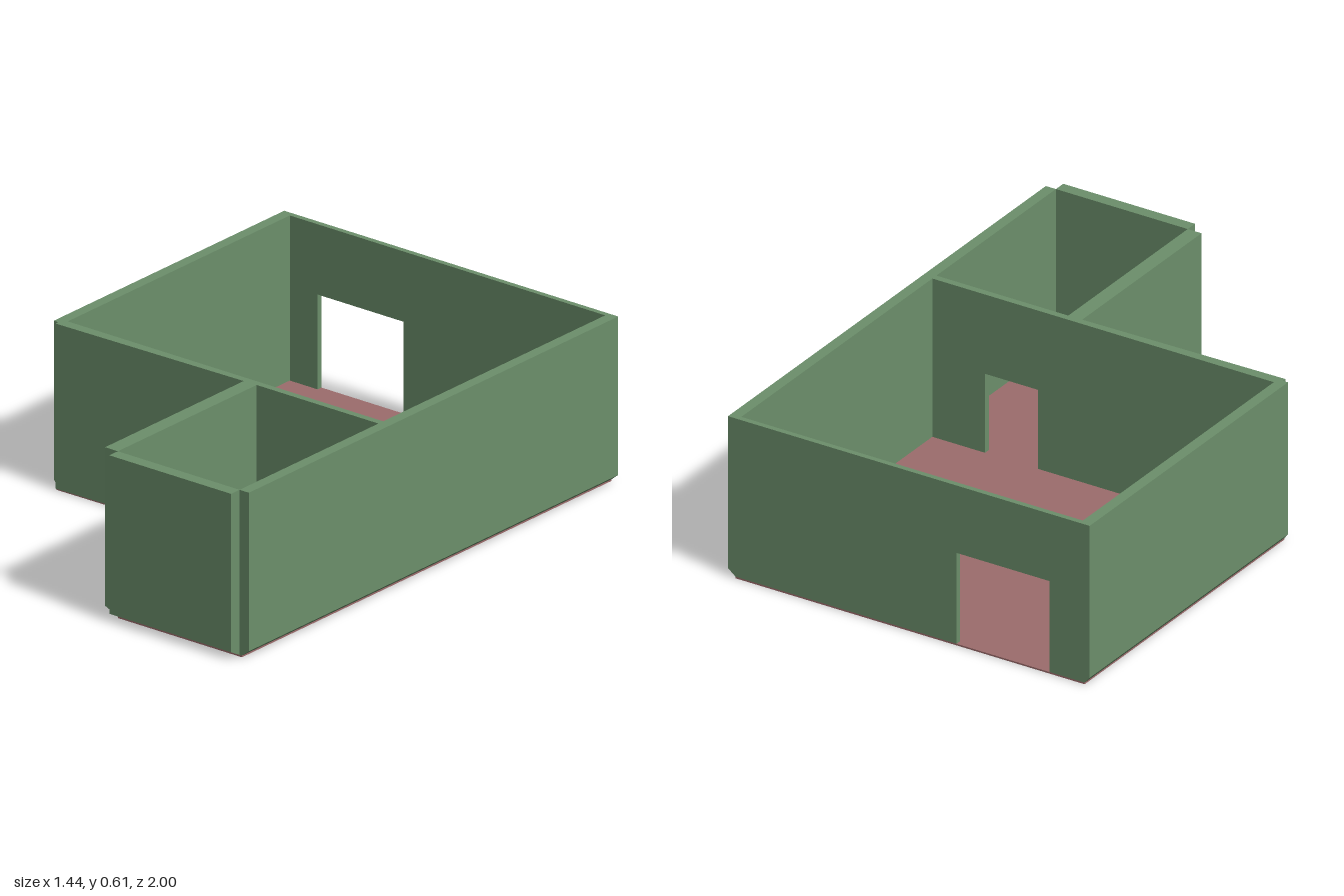
import * as THREE from 'three';

const H = 0.605; // wall height
const F = 0.006; // floor thickness
const green = new THREE.MeshStandardMaterial({ color: 0x6c8f6b });
const red = new THREE.MeshStandardMaterial({ color: 0x9c6c6c });

const extrude = (points, depth) => new THREE.ExtrudeGeometry(
  new THREE.Shape(points.map(([x, y]) => new THREE.Vector2(x, y))),
  { depth, bevelEnabled: false });

// Cross-section of an outer wall, its foot cut back to the floor edge
const section = (inner, outer, foot) => {
  const p = [[inner, F], [foot, F], [outer, 0.03], [outer, H], [inner, H]]
    .filter(([x], i) => !(i === 1 && x === inner));
  return outer < inner ? p.reverse() : p;
};

// Straight wall along x with a doorway reaching the floor
const doorWall = (x0, x1, d0, d1, doorTop, z0, z1) => extrude([
  [x0, F], [d0, F], [d0, doorTop], [d1, doorTop], [d1, F],
  [x1, F], [x1, H], [x0, H]], z1 - z0).translate(0, 0, z0);

export function createModel() {
  const group = new THREE.Group();
  const add = (name, geometry, material = green) => {
    const mesh = new THREE.Mesh(geometry, material);
    mesh.name = name;
    group.add(mesh);
  };

  // L-shaped floor under both rooms, shape y is -z
  add('floor', extrude([
    [-0.7, 1], [-0.7, -0.23], [0.155, -0.22], [0.155, -0.955],
    [0.69, -0.955], [0.69, 1]], F).rotateX(-Math.PI / 2), red);

  // Walls with openings
  add('backWall', doorWall(-0.68, 0.68, -0.56, -0.19, 0.35, -1, -0.98));
  add('dividingWall', doorWall(-0.68, 0.68, 0.26, 0.47, 0.305, 0.195, 0.22));

  // Side walls running along z
  add('leftSideWall', extrude(section(0.68, 0.72, 0.69), 1.955).translate(0, 0, -1));
  add('rightSideWall', extrude(section(-0.68, -0.72, -0.7), 1.22).translate(0, 0, -1));
  add('smallRoomSideWall', extrude(section(0.155, 0.1, 0.155), 0.735).translate(0, 0, 0.22));

  // Front wall of the small room, turned to run along x
  add('smallRoomFrontWall', extrude(section(0.955, 1, 0.955), 0.525)
    .rotateY(-Math.PI / 2).translate(0.68, 0, 0));

  // Slightly tapered outer face of the large room's front wall
  add('frontWallFacing', extrude([
    [-0.7, -0.22], [-0.7, -0.235], [0.1, -0.221], [0.1, -0.22]], H - F)
    .rotateX(-Math.PI / 2).translate(0, F, 0));

  return group;
}
